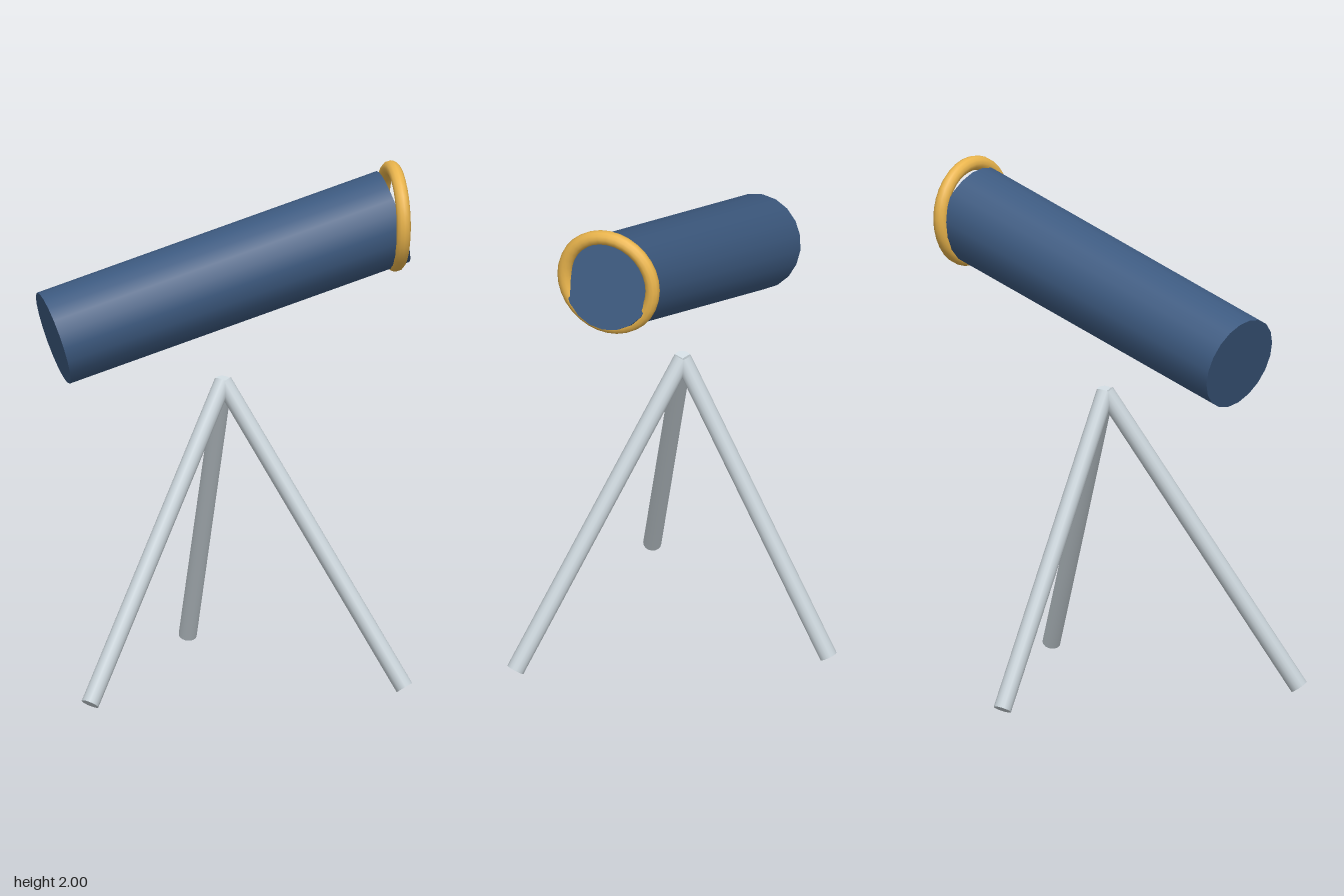
import * as THREE from 'three';

const UP = new THREE.Vector3(0, 1, 0);

// Closed cylinder running between two points
function rod(name, from, to, radius, sides, material) {
  const axis = new THREE.Vector3().subVectors(to, from);
  const mesh = new THREE.Mesh(
    new THREE.CylinderGeometry(radius, radius, axis.length(), sides), material);
  mesh.name = name;
  mesh.position.addVectors(from, to).multiplyScalar(0.5);
  mesh.quaternion.setFromUnitVectors(UP, axis.normalize());
  return mesh;
}

export function createModel() {
  const model = new THREE.Group();
  model.name = 'telescope';
  const blue = new THREE.MeshStandardMaterial({ color: 0x3d5a80 });
  const gold = new THREE.MeshStandardMaterial({ color: 0xe9b44c });
  const metal = new THREE.MeshStandardMaterial({ color: 0xc8d2d8 });

  // Tilted main tube, capped at both ends
  const rear = new THREE.Vector3(-0.67, 1.372, 0.1);
  const front = new THREE.Vector3(0.67, 1.783, 0.1);
  model.add(rod('tube', rear, front, 0.186, 20, blue));

  // Upright ring around the raised end
  const ring = new THREE.Mesh(new THREE.TorusGeometry(0.187, 0.028, 12, 32), gold);
  ring.name = 'lensRing';
  ring.position.set(0.67, 1.785, 0.1);
  ring.rotation.y = Math.PI / 2;
  model.add(ring);

  // Tripod: three legs meeting at one point below the tube
  const tripod = new THREE.Group();
  tripod.name = 'tripod';
  const apex = new THREE.Vector3(0, 1.165, 0.1);
  const feet = { leftLeg: [0.62, 0.52], rightLeg: [-0.62, 0.52], backLeg: [0, -0.52] };
  for (const [name, [x, z]] of Object.entries(feet)) {
    tripod.add(rod(name, new THREE.Vector3(x, 0.02, z), apex, 0.035, 16, metal));
  }
  model.add(tripod);

  return model;
}
